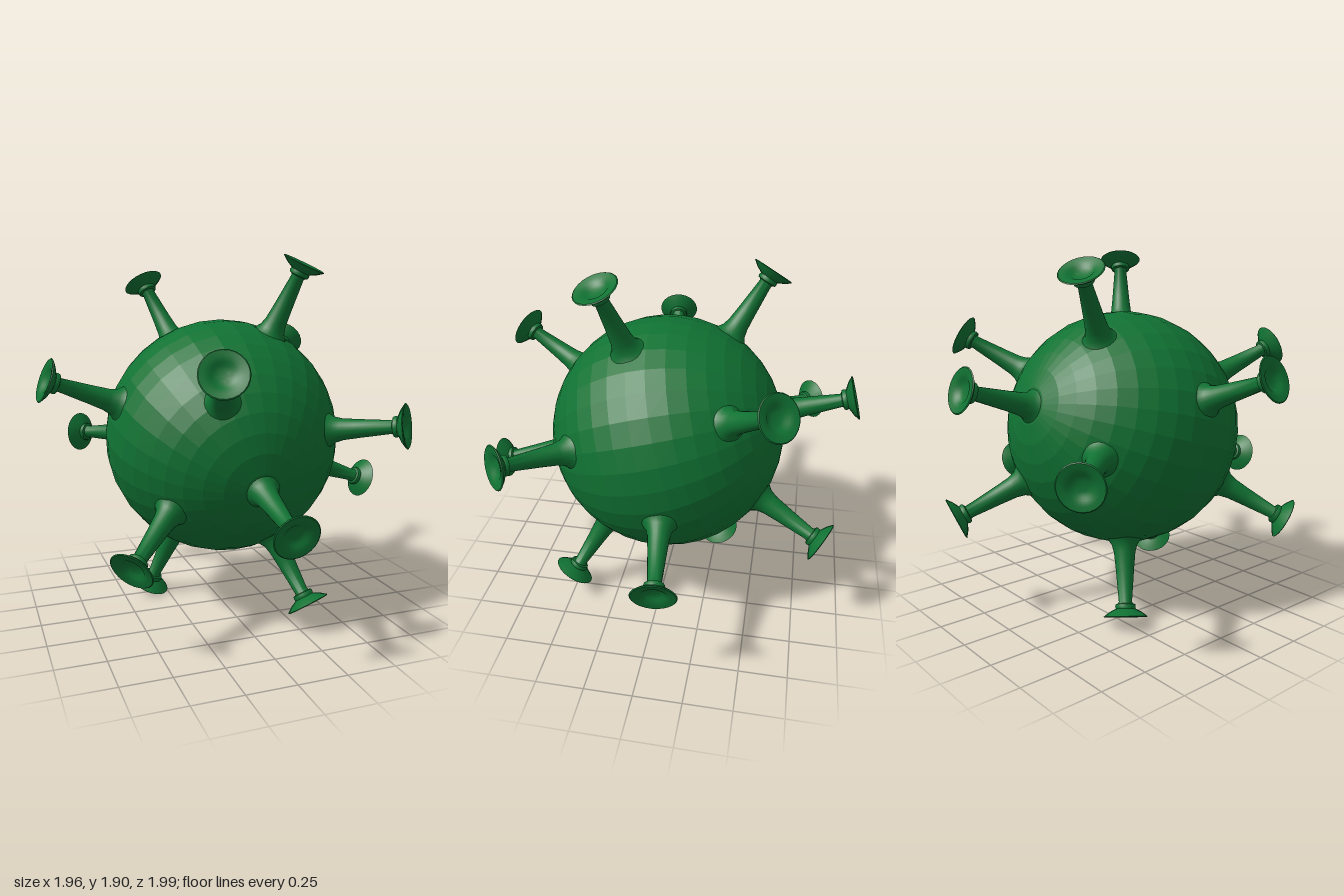
import * as THREE from 'three';
import { toCreasedNormals } from 'three/addons/utils/BufferGeometryUtils.js';

const CENTER_Y = 0.96;
const RADIUS = 0.622;

// Spike directions, measured from the centre of the body
const DIRECTIONS = [
  [0, -0.285, 0.96], [0, 0.285, -0.96],
  [-0.30, 0.83, -0.50], [0.30, -0.83, 0.50],
  [0.35, 0.91, 0.275], [-0.35, -0.91, -0.275],
  [0.65, 0.49, -0.60], [-0.65, -0.49, 0.60],
  [-0.935, 0.34, 0.10], [0.94, -0.34, -0.10],
  [-0.30, 0.42, 0.865], [0.30, -0.42, -0.865],
  [0.705, 0.12, 0.71], [-0.645, -0.07, -0.77],
];

// Flared foot, tapering shaft, collar and dished cap as one turned profile
const SPIKE_PROFILE = [
  [0.110, 0.590], [0.085, 0.615], [0.067, 0.640], [0.056, 0.680], [0.048, 0.760],
  [0.034, 0.930], [0.038, 0.938], [0.050, 0.942], [0.053, 0.952], [0.050, 0.964],
  [0.058, 0.968], [0.085, 0.982], [0.113, 1.003], [0.108, 1.007], [0.085, 1.003],
  [0.060, 0.996], [0.048, 0.985], [0.025, 0.980], [0, 0.979],
];

export function createModel() {
  const model = new THREE.Group();
  model.name = 'spikedSphere';
  const green = new THREE.MeshStandardMaterial({ color: 0x107233 });
  green.name = 'green';

  const up = new THREE.Vector3(0, 1, 0);
  const aim = (d) => new THREE.Quaternion().setFromUnitVectors(up, new THREE.Vector3(...d).normalize());

  // Faceted body, with its poles under the front and back spikes
  const bodyGeometry = toCreasedNormals(new THREE.SphereGeometry(RADIUS, 32, 20), 0.02);
  const body = new THREE.Mesh(bodyGeometry, green);
  body.name = 'body';
  body.position.y = CENTER_Y;
  body.quaternion.copy(aim(DIRECTIONS[0]));
  model.add(body);

  // Spikes radiating from the body
  const profile = SPIKE_PROFILE.map(([r, h]) => new THREE.Vector2(r, h));
  const spikeGeometry = toCreasedNormals(new THREE.LatheGeometry(profile, 24), 0.75);
  DIRECTIONS.forEach((d, i) => {
    const spike = new THREE.Mesh(spikeGeometry, green);
    spike.name = `spike${i + 1}`;
    spike.position.y = CENTER_Y;
    spike.quaternion.copy(aim(d));
    model.add(spike);
  });

  return model;
}
